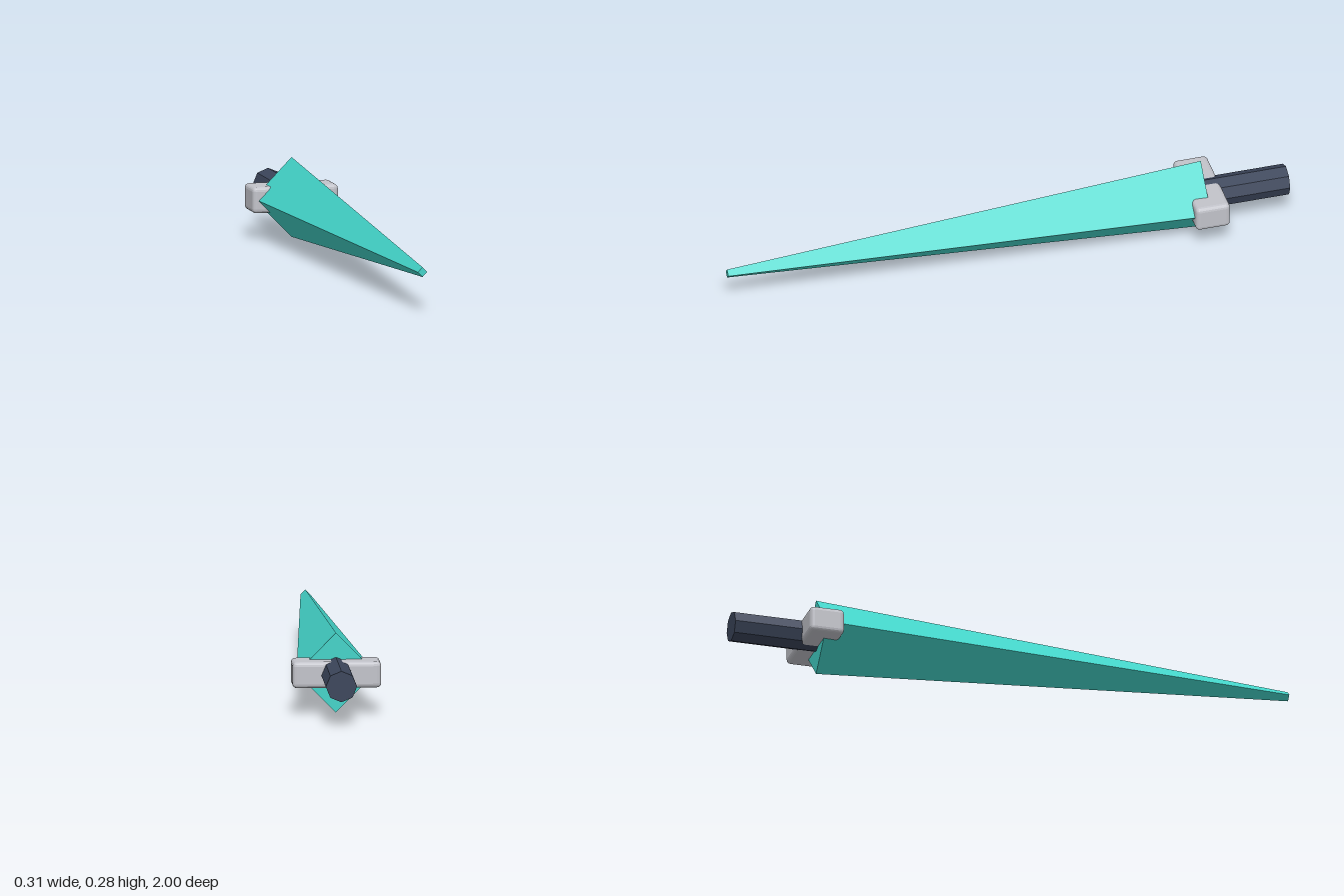
import * as THREE from 'three';
import { RoundedBoxGeometry } from 'three/addons/geometries/RoundedBoxGeometry.js';

const AXIS_Y = 0.14;

function material(name, color) {
  const m = new THREE.MeshStandardMaterial({ color, flatShading: true });
  m.name = name;
  return m;
}

// Faceted rod along z, with a corner pointing straight up
function rod(name, mat, frontRadius, backRadius, zFront, zBack, sides) {
  const geo = new THREE.CylinderGeometry(frontRadius, backRadius, zFront - zBack, sides);
  geo.rotateX(Math.PI / 2);
  const mesh = new THREE.Mesh(geo, mat);
  mesh.name = name;
  mesh.position.set(0, AXIS_Y, (zFront + zBack) / 2);
  return mesh;
}

export function createModel() {
  const group = new THREE.Group();
  group.name = 'spikeDagger';
  const turquoise = material('turquoise blade', 0x43d3c8);
  const steel = material('pale steel', 0xc2c3ca);
  const navy = material('dark navy grip', 0x3b455a);

  // Long four-sided blade with a small blunt tip
  const blade = rod('blade', turquoise, 0.017, 0.139, 1, -0.695, 4);
  blade.scale.x = 0.98;
  group.add(blade);

  // Octagonal grip
  group.add(rod('grip', navy, 0.054, 0.054, -0.65, -1, 8));

  // Cross guard with softened edges
  const guard = new THREE.Mesh(new RoundedBoxGeometry(0.306, 0.091, 0.122, 2, 0.015), steel);
  guard.name = 'crossGuard';
  guard.position.set(0, AXIS_Y + 0.001, -0.698);
  group.add(guard);

  return group;
}
